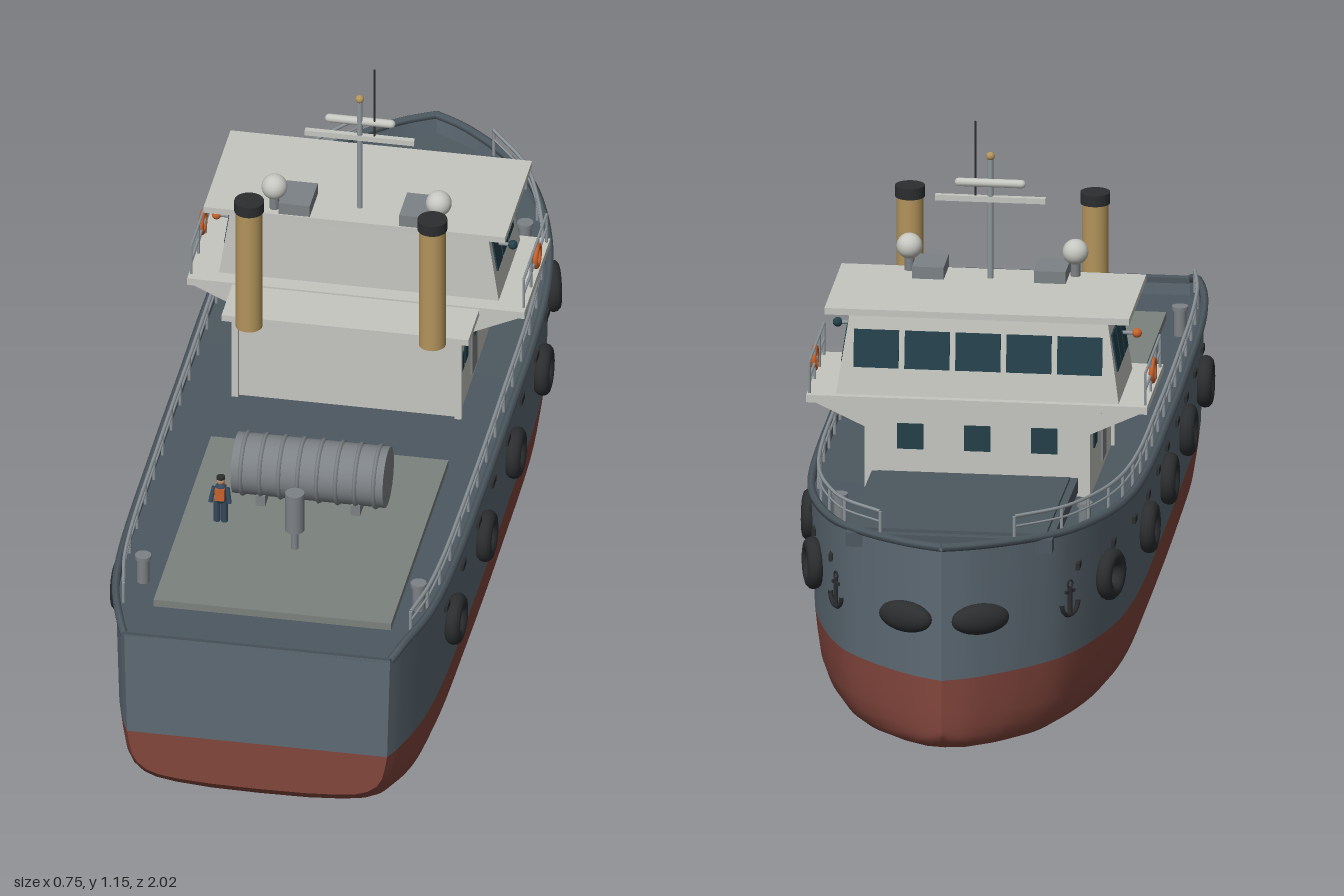
import * as THREE from 'three';

const C = { steel: 0x5d6a74, red: 0x83463d, deck: 0x4d5860, panel: 0x7c827e, white: 0xc6c7c1, black: 0x2b2d2f,
  glass: 0x24404a, tan: 0xb3945c, grey: 0x7d8286, rail: 0x8f979c, orange: 0xc8622c, blue: 0x34495c, skin: 0xb98a6a };
const mats = {};
const mat = (c, side = THREE.FrontSide) =>
  (mats[c + '_' + side] ??= new THREE.MeshStandardMaterial({ color: C[c], side }));
const V = (x, y, z) => new THREE.Vector3(x, y, z);

function add(parent, name, geo, color, x = 0, y = 0, z = 0, side) {
  const m = new THREE.Mesh(geo, mat(color, side));
  m.name = name;
  m.position.set(x, y, z);
  parent.add(m);
  return m;
}
const box = (p, name, c, w, h, d, x, y, z) => add(p, name, new THREE.BoxGeometry(w, h, d), c, x, y, z);
const cyl = (p, name, c, r, h, x, y, z, n = 20) => add(p, name, new THREE.CylinderGeometry(r, r, h, n), c, x, y, z);
const ball = (p, name, c, r, x, y, z) => add(p, name, new THREE.SphereGeometry(r, 20, 14), c, x, y, z);
const tube = (p, name, c, pts, r) =>
  add(p, name, new THREE.TubeGeometry(new THREE.CatmullRomCurve3(pts), pts.length * 3, r, 6), c);
function rod(p, name, c, a, b, r) {
  const m = cyl(p, name, c, r, a.distanceTo(b), 0, 0, 0, 8);
  m.position.copy(a).lerp(b, 0.5);
  m.quaternion.setFromUnitVectors(V(0, 1, 0), b.clone().sub(a).normalize());
  return m;
}

// Surface through a row of equal-length cross-sections
function loft(sections) {
  const n = sections[0].length, idx = [];
  for (let i = 0; i < sections.length - 1; i++)
    for (let j = 0; j < n - 1; j++) {
      const a = i * n + j, b = a + n;
      idx.push(a, a + 1, b, a + 1, b + 1, b);
    }
  const g = new THREE.BufferGeometry().setFromPoints(sections.flat());
  g.setIndex(idx);
  g.computeVertexNormals();
  return g;
}

// Hull stations: half width, keel height, z
const stations = new THREE.CatmullRomCurve3([
  [0, 0.09, -1], [0.055, 0.062, -0.975], [0.1, 0.048, -0.945], [0.165, 0.037, -0.89], [0.24, 0.027, -0.8],
  [0.313, 0.017, -0.6], [0.34, 0.009, -0.4], [0.346, 0, 0], [0.346, 0.008, 0.4], [0.341, 0.02, 0.7],
  [0.326, 0.035, 0.85], [0.297, 0.065, 0.96], [0.28, 0.1, 1],
].map(a => V(...a)), false, 'centripetal').getPoints(72);
const WATER = 0.21;
const sheer = z => 0.45 + 0.05 * Math.max(0, -z) ** 2 + 0.017 * Math.max(0, z) ** 2 - 0.4 * Math.max(0, z - 0.95);
const deckY = z => 0.41 + 0.045 * Math.max(0, -z) ** 2;
function halfWidth(z) {
  const i = Math.max(1, stations.findIndex(s => s.z >= z));
  const a = stations[i - 1], b = stations[i];
  return THREE.MathUtils.mapLinear(z, a.z, b.z, a.x, b.x);
}
const edge = (s, z, inset = 0, up = 0) => V(s * Math.max(0, halfWidth(z) - inset), sheer(z) + up, z);

function buildHull(g) {
  const bilge = [[0, 0], [0.35, 0.01], [0.6, 0.05], [0.74, 0.1], [0.83, 0.18], [0.9, 0.32], [0.94, 0.5], [0.962, 0.75], [0.978, 1]];
  const full = [...bilge.slice(1).reverse().map(([x, f]) => [-x, f]), ...bilge];
  const lower = stations.map(s => full.map(([x, f]) => V(x * s.x, s.y + f * (WATER - s.y), s.z)));
  add(g, 'lowerHull', loft(lower), 'red');
  const side = s => [0, 0.25, 0.5, 0.75, 1].map(t =>
    V((0.978 + 0.022 * t) * s.x, WATER + t * (sheer(s.z) - WATER), s.z));
  const mirror = pts => pts.map(p => V(-p.x, p.y, p.z)).reverse();
  add(g, 'leftTopside', loft(stations.map(side)), 'steel', 0, 0, 0, THREE.DoubleSide);
  add(g, 'rightTopside', loft(stations.map(s => mirror(side(s)))), 'steel', 0, 0, 0, THREE.DoubleSide);
  // Flat transom in two colours
  const last = stations[stations.length - 1];
  const face = pts => new THREE.ShapeGeometry(new THREE.Shape(pts.map(p => new THREE.Vector2(p.x, p.y))));
  add(g, 'lowerTransom', face(lower[lower.length - 1]), 'red', 0, 0, 1);
  add(g, 'upperTransom', face([...side(last), ...mirror(side(last))]), 'steel', 0, 0, 1, THREE.DoubleSide);
  add(g, 'mainDeck', loft(stations.map(s => [1, 0, -1].map(k => V(k * s.x * 0.995, deckY(s.z), s.z)))), 'deck');
  // Bulwark cap around the sheer
  for (const s of [-1, 1])
    tube(g, 'bulwarkCap', 'deck', stations.filter((_, i) => i % 3 === 0).map(p => V(s * p.x, sheer(p.z), p.z)), 0.009);
  box(g, 'transomCap', 'deck', 0.56, 0.012, 0.018, 0, sheer(1), 0.991);
  // Cargo deck and raised foredeck
  box(g, 'cargoDeck', 'panel', 0.5, 0.016, 0.64, 0, 0.42, 0.51);
  box(g, 'foredeck', 'deck', 0.43, 0.03, 0.46, 0, 0.462, -0.645).rotation.x = 0.03;
  box(g, 'foredeckHatch', 'deck', 0.4, 0.008, 0.42, 0, 0.48, -0.645).rotation.x = 0.03;
}

function buildHullFittings(g) {
  for (const s of [-1, 1]) {
    for (const z of [-0.645, -0.325, 0, 0.325, 0.65]) {
      const slope = Math.atan2(halfWidth(z + 0.05) - halfWidth(z - 0.05), 0.1);
      const x = s * (halfWidth(z) + 0.01);
      const t = add(g, 'tyreFender', new THREE.TorusGeometry(0.038, 0.017, 12, 28), 'black', x, 0.34, z);
      t.rotation.y = s * (Math.PI / 2 + slope);
      for (const dz of [0.04, -0.12])
        box(g, 'scupper', 'black', 0.008, 0.014, 0.035, s * halfWidth(z + dz), 0.397, z + dz);
    }
    // Bow fender
    const f = ball(g, 'bowFender', 'black', 0.03, s * 0.078, 0.34, -0.975);
    f.scale.set(2.1, 1.1, 0.85);
    f.rotation.y = -s * 0.45;
    // Anchor against the bow
    const a = new THREE.Group();
    a.name = 'anchor';
    a.position.set(s * (halfWidth(-0.8) + 0.004), 0.33, -0.8);
    a.rotation.y = s * (Math.PI / 2 + 0.55);
    g.add(a);
    cyl(a, 'anchorShank', 'black', 0.005, 0.06, 0, 0, 0, 8);
    box(a, 'anchorStock', 'black', 0.03, 0.006, 0.006, 0, 0.02, 0);
    add(a, 'anchorRing', new THREE.TorusGeometry(0.008, 0.002, 6, 12), 'black', 0, 0.036, 0);
    add(a, 'anchorArms', new THREE.TorusGeometry(0.027, 0.005, 6, 14, Math.PI), 'black', 0, -0.004, 0).rotation.z = Math.PI;
    // Bollards
    for (const [x, z] of [[0.29, 0.735], [0.255, -0.64]]) {
      cyl(g, 'bollard', 'grey', 0.013, 0.06, s * x, deckY(z) + 0.03, z);
      cyl(g, 'bollardCap', 'grey', 0.017, 0.008, s * x, deckY(z) + 0.06, z);
    }
    // Deck rails, stern to house and house to bow
    for (const [z0, z1, n, rise] of [[0.89, -0.39, 13, 0], [-0.39, -0.9, 5, 0.006]]) {
      const top = [];
      for (let i = 0; i <= n; i++) {
        const z = z0 + (z1 - z0) * i / n, h = 0.045 - 0.008 * Math.max(0, z) + rise * i / n;
        top.push(edge(s, z, 0.015, h));
        rod(g, 'railPost', 'rail', edge(s, z, 0.015, -0.01), top[i], 0.0035);
      }
      tube(g, 'topRail', 'rail', top, 0.004);
      tube(g, 'middleRail', 'rail', top.map(p => V(p.x, p.y - 0.022, p.z)), 0.0025);
    }
  }
}

function buildHouse(g) {
  box(g, 'deckhouse', 'white', 0.47, 0.2, 0.37, 0, 0.505, -0.19);
  box(g, 'deckhouseRoof', 'white', 0.52, 0.014, 0.41, 0, 0.61, -0.185);
  box(g, 'bridgeDeck', 'white', 0.71, 0.016, 0.29, 0, 0.613, -0.245);
  for (const s of [-1, 1]) {
    // Sloped underside of the bridge wing
    const wedge = new THREE.Shape([[0.23, 0.55], [0.35, 0.606], [0.23, 0.606]].map(p => new THREE.Vector2(...p)));
    const w = add(g, 'wingBracket', new THREE.ExtrudeGeometry(wedge, { depth: 0.27, bevelEnabled: false }),
      'white', 0, 0, s > 0 ? -0.375 : -0.105);
    if (s < 0) w.rotation.y = Math.PI, w.position.z = -0.105;
    for (const [z, y, d, h] of [[-0.035, 0.525, 0.03, 0.04], [-0.08, 0.525, 0.03, 0.04], [-0.295, 0.53, 0.05, 0.05]])
      box(g, 'houseWindow', 'glass', 0.006, h, d, s * 0.235, y, z);
    box(g, 'houseDoor', 'grey', 0.008, 0.13, 0.055, s * 0.236, 0.5, -0.16);
    box(g, 'doorWindow', 'glass', 0.012, 0.03, 0.025, s * 0.236, 0.535, -0.16);
    box(g, 'aftBulkheadTrim', 'white', 0.014, 0.19, 0.014, s * 0.235, 0.505, -0.003);
    // Wing rail, lifebuoy and side light
    for (const z of [-0.12, -0.2, -0.28, -0.375])
      rod(g, 'wingPost', 'rail', V(s * 0.35, 0.62, z), V(s * 0.35, 0.69, z), 0.003);
    for (const y of [0.655, 0.69])
      rod(g, 'wingRail', 'rail', V(s * 0.35, y, -0.12), V(s * 0.35, y, -0.375), 0.003);
    add(g, 'lifebuoy', new THREE.TorusGeometry(0.022, 0.006, 10, 24), 'orange', s * 0.352, 0.66, -0.26).rotation.y = Math.PI / 2;
    ball(g, 'sideLight', s > 0 ? 'glass' : 'orange', 0.01, s * 0.312, 0.72, -0.2);
    rod(g, 'lightBracket', 'rail', V(s * 0.27, 0.72, -0.2), V(s * 0.31, 0.72, -0.2), 0.004);
  }
  for (const x of [-0.14, 0, 0.14]) box(g, 'houseFrontWindow', 'glass', 0.055, 0.055, 0.006, x, 0.535, -0.375);

  // Wheelhouse with sides and front leaning in
  const wh = new THREE.BoxGeometry(0.59, 0.175, 0.24), p = wh.attributes.position;
  for (let i = 0; i < p.count; i++)
    if (p.getY(i) > 0) p.setX(i, p.getX(i) * 0.91), p.setZ(i, p.getZ(i) < 0 ? -0.095 : 0.117);
  wh.computeVertexNormals();
  add(g, 'wheelhouse', wh, 'white', 0, 0.705, -0.255);
  const lean = 0.145;
  for (let i = -2; i <= 2; i++)
    box(g, 'bridgeWindow', 'glass', 0.094, 0.08, 0.006, i * 0.106, 0.718, -0.361).rotation.x = lean;
  for (const s of [-1, 1])
    for (const z of [-0.185, -0.247, -0.309])
      box(g, 'bridgeSideWindow', 'glass', 0.006, 0.08, 0.054, s * 0.28, 0.718, z).rotation.z = s * 0.15;
  box(g, 'wheelhouseRoof', 'white', 0.635, 0.014, 0.3, 0, 0.803, -0.235);
}

function buildRoofGear(g) {
  cyl(g, 'mast', 'rail', 0.006, 0.27, 0, 0.935, -0.145);
  ball(g, 'mastLight', 'tan', 0.009, 0, 1.075, -0.145);
  box(g, 'yard', 'white', 0.23, 0.012, 0.012, 0, 0.982, -0.145);
  const bar = add(g, 'radarBar', new THREE.CapsuleGeometry(0.009, 0.13, 6, 12), 'white', 0, 1.018, -0.15);
  bar.rotation.z = Math.PI / 2;
  rod(g, 'whipAerial', 'black', V(0.031, 0.985, -0.145), V(0.031, 1.15, -0.145), 0.002);
  for (const s of [-1, 1]) {
    box(g, 'roofLocker', 'grey', 0.066, 0.026, 0.09, s * 0.127, 0.825, -0.13);
    cyl(g, 'domeStand', 'grey', 0.01, 0.035, s * 0.173, 0.825, -0.11);
    ball(g, 'antennaDome', 'white', 0.027, s * 0.173, 0.862, -0.11);
    // Funnels
    cyl(g, 'funnel', 'tan', 0.028, 0.285, s * 0.193, 0.772, 0.067, 28);
    cyl(g, 'funnelCap', 'black', 0.031, 0.024, s * 0.193, 0.924, 0.067, 28);
  }
}

function buildCargoDeckGear(g) {
  // Ribbed drum lying across the deck
  cyl(g, 'drum', 'grey', 0.064, 0.32, 0, 0.498, 0.385, 32).rotation.z = Math.PI / 2;
  for (let i = 0; i < 8; i++)
    add(g, 'drumBand', new THREE.TorusGeometry(0.064, 0.005, 6, 32), 'grey', -0.14 + i * 0.04, 0.498, 0.385).rotation.y = Math.PI / 2;
  for (const s of [-1, 1]) box(g, 'drumCradle', 'grey', 0.02, 0.03, 0.1, s * 0.1, 0.437, 0.385);
  cyl(g, 'ventPost', 'grey', 0.02, 0.09, 0, 0.518, 0.58);
  cyl(g, 'ventStem', 'grey', 0.008, 0.06, 0, 0.45, 0.58);
  // Deckhand
  const d = new THREE.Group();
  d.name = 'deckhand';
  d.position.set(-0.17, 0.428, 0.505);
  g.add(d);
  for (const s of [-1, 1]) {
    cyl(d, 'leg', 'blue', 0.007, 0.05, s * 0.008, 0.025, 0, 10);
    rod(d, 'arm', 'blue', V(s * 0.014, 0.082, 0), V(s * 0.02, 0.05, 0.01), 0.005);
  }
  add(d, 'torso', new THREE.CapsuleGeometry(0.013, 0.022, 5, 12), 'blue', 0, 0.068, 0);
  box(d, 'vest', 'orange', 0.02, 0.028, 0.028, 0, 0.07, 0);
  ball(d, 'head', 'skin', 0.009, 0, 0.098, 0);
  cyl(d, 'cap', 'black', 0.009, 0.006, 0, 0.106, 0, 12);
}

export function createModel() {
  const model = new THREE.Group();
  model.name = 'workboat';
  const parts = { hull: buildHull, hullFittings: buildHullFittings, superstructure: buildHouse,
    roofGear: buildRoofGear, cargoDeckGear: buildCargoDeckGear };
  for (const [name, build] of Object.entries(parts)) {
    const g = new THREE.Group();
    g.name = name;
    build(g);
    model.add(g);
  }
  return model;
}
